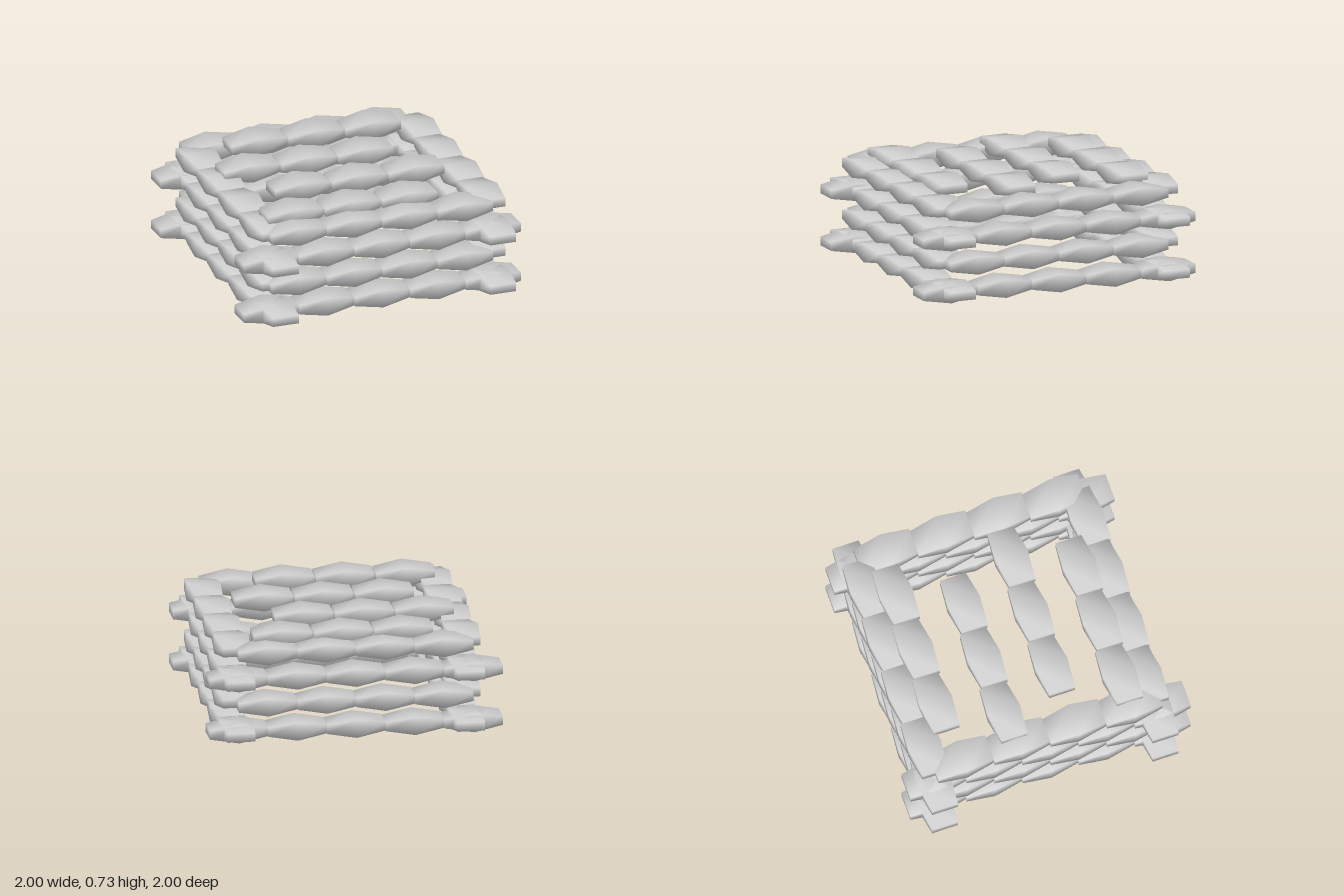
import * as THREE from 'three';
import { mergeVertices } from 'three/addons/utils/BufferGeometryUtils.js';

const LENGTH = 0.4, HEIGHT = 0.125, WIDTH = 0.23;

// One sandbag: a box that bulges in the middle, with slightly skewed, pinched ends
function bagGeometry() {
  let g = new THREE.BoxGeometry(LENGTH, HEIGHT, WIDTH, 2, 1, 1);
  const p = g.attributes.position;
  for (let i = 0; i < p.count; i++) {
    const end = Math.sign(Math.round(p.getX(i) * 100));
    if (end === 0) continue;
    p.setY(i, p.getY(i) * 0.48);
    p.setZ(i, p.getZ(i) * 0.8 - end * 0.009);
  }
  g.deleteAttribute('uv');
  g.deleteAttribute('normal');
  g = mergeVertices(g);
  g.computeVertexNormals();
  return g;
}

export function createModel() {
  const model = new THREE.Group();
  const sack = new THREE.MeshStandardMaterial({ color: 0xcccccc });
  sack.name = 'sack grey';
  const geometry = bagGeometry();

  // A straight run of bags along local x, centred on its group
  function bagRow(name, count, spacing, x, y, z, turned) {
    const row = new THREE.Group();
    row.name = name;
    for (let i = 0; i < count; i++) {
      const bag = new THREE.Mesh(geometry, sack);
      bag.name = 'sandbag';
      bag.position.x = (i - (count - 1) / 2) * spacing;
      row.add(bag);
    }
    row.position.set(x, y, z);
    if (turned) row.rotation.y = Math.PI / 2;
    model.add(row);
  }

  // Four wall courses, alternating five and four bags so the joints stagger
  for (let layer = 0; layer < 4; layer++) {
    const y = 0.067 + layer * 0.18;
    const count = layer % 2 ? 4 : 5;
    bagRow('frontWallCourse', count, 0.4, 0, y, 0.755, false);
    bagRow('backWallCourse', count, 0.4, 0, y, -0.815, false);
    bagRow('leftWallCourse', count, 0.4, 0.805, y, -0.005, true);
    bagRow('rightWallCourse', count, 0.4, -0.76, y, -0.005, true);
  }

  // Four spaced roof rows, shifted alternately to each side
  for (let i = 0; i < 4; i++) {
    bagRow('roofRow', 3, 0.411, i % 2 ? -0.148 : 0.06, 0.672, -0.648 + i * 0.411, false);
  }
  return model;
}
